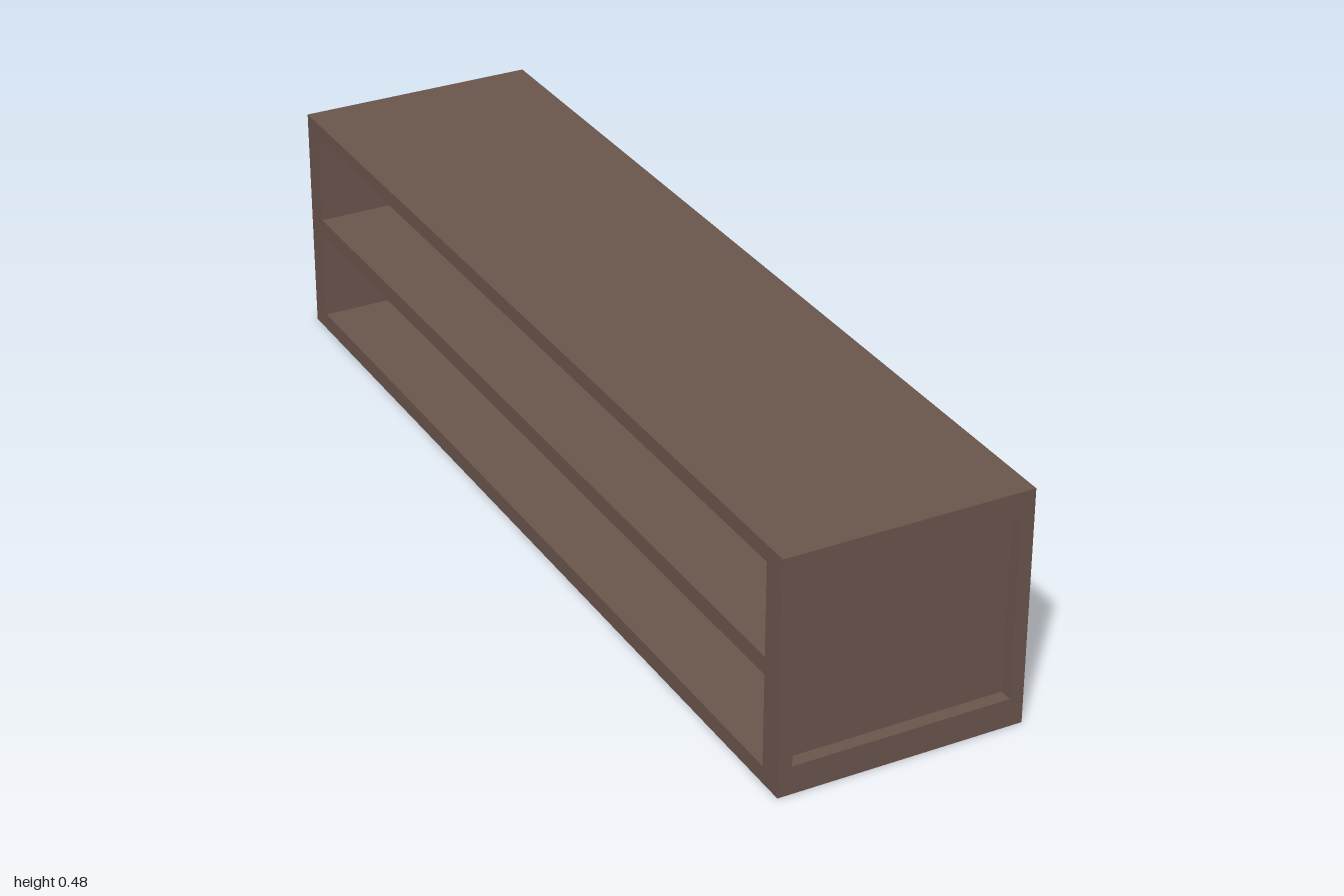
import * as THREE from 'three';

const W = 0.5, H = 0.483, L = 2;
const RECESS = 0.027;        // depth of the inset end panels
const SHELF_DEPTH = 0.173;   // depth of the open compartments
const BODY_L = L - 2 * RECESS;

// rectangle path from corner to corner
function rect(path, x0, y0, x1, y1) {
  path.moveTo(x0, y0);
  path.lineTo(x1, y0);
  path.lineTo(x1, y1);
  path.lineTo(x0, y1);
  path.closePath();
  return path;
}

// flat board with rectangular openings, extruded along z
function board(halfWidth, holes, depth) {
  const shape = rect(new THREE.Shape(), -halfWidth, 0, halfWidth, H);
  for (const h of holes) shape.holes.push(rect(new THREE.Path(), ...h));
  return new THREE.ExtrudeGeometry(shape, { depth, bevelEnabled: false });
}

export function createModel() {
  const group = new THREE.Group();
  const wood = new THREE.MeshStandardMaterial({ color: 0x6b564d });
  wood.name = 'brown wood';

  const add = (name, geometry) => {
    const mesh = new THREE.Mesh(geometry, wood);
    mesh.name = name;
    group.add(mesh);
    return mesh;
  };

  // two long open compartments on the -x side
  const shelfFrame = board(BODY_L / 2, [
    [-0.947, 0.035, 0.947, 0.224],
    [-0.947, 0.26, 0.947, 0.45],
  ], SHELF_DEPTH);
  shelfFrame.rotateY(Math.PI / 2);
  shelfFrame.translate(-W / 2, 0, 0);
  add('shelfFrame', shelfFrame);

  // closed body behind the compartments
  const backWidth = W - SHELF_DEPTH;
  const back = new THREE.BoxGeometry(backWidth, H, BODY_L);
  back.translate(W / 2 - backWidth / 2, H / 2, 0);
  add('closedBody', back);

  // raised frames around the inset panels at both ends
  for (const [name, z] of [['frontEndFrame', BODY_L / 2], ['backEndFrame', -L / 2]]) {
    const frame = board(W / 2, [[-0.222, 0.058, 0.222, 0.427]], RECESS);
    frame.translate(0, 0, z);
    add(name, frame);
  }

  return group;
}
